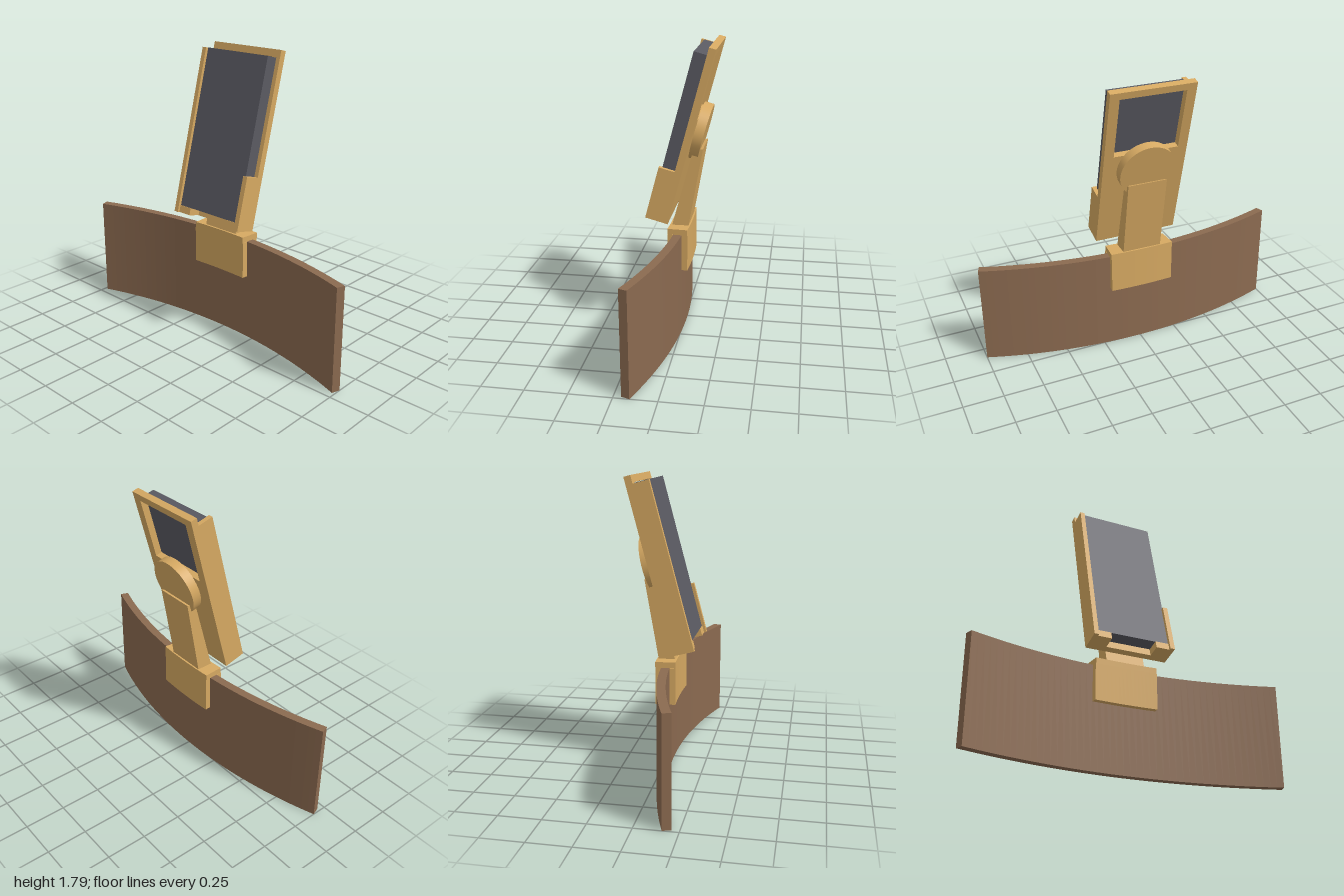
import * as THREE from 'three';

const wood = new THREE.MeshStandardMaterial({ color: 0x8b6a50 });
wood.name = 'brownBoard';
const tan = new THREE.MeshStandardMaterial({ color: 0xd6a962 });
tan.name = 'tanHolder';
const slate = new THREE.MeshStandardMaterial({ color: 0x5a5a62 });
slate.name = 'slateDevice';

// common centre of the board's curvature
const ARC_Z = 3.028;

function mesh(name, geometry, material) {
  const m = new THREE.Mesh(geometry, material);
  m.name = name;
  return m;
}

// box given by its limits on each axis
function block(name, material, [x0, x1], [y0, y1], [z0, z1]) {
  const g = new THREE.BoxGeometry(x1 - x0, y1 - y0, z1 - z0);
  g.translate((x0 + x1) / 2, (y0 + y1) / 2, (z0 + z1) / 2);
  return mesh(name, g, material);
}

// upright slab bent around the common centre
function bentSlab(name, material, rIn, rOut, halfAngle, y0, y1, segments) {
  const a0 = Math.PI / 2 - halfAngle, a1 = Math.PI / 2 + halfAngle;
  const s = new THREE.Shape();
  s.absarc(0, -ARC_Z, rOut, a0, a1, false);
  s.absarc(0, -ARC_Z, rIn, a1, a0, true);
  s.closePath();
  const g = new THREE.ExtrudeGeometry(s, { depth: y1 - y0, bevelEnabled: false, curveSegments: segments });
  g.rotateX(-Math.PI / 2).translate(0, y0, 0);
  return mesh(name, g, material);
}

export function createModel() {
  const model = new THREE.Group();
  model.name = 'deviceHolder';

  // curved board
  model.add(bentSlab('curvedBoard', wood, 2.988, 3.04, 0.3352, 0, 0.645, 24));

  // clip straddling the top edge of the board
  const clip = new THREE.Group();
  clip.name = 'clip';
  clip.add(
    bentSlab('clipBack', tan, 3.04, 3.075, 0.067, 0.415, 0.645, 8),
    bentSlab('clipFront', tan, 2.952, 2.988, 0.0685, 0.415, 0.645, 8),
    bentSlab('clipTop', tan, 2.952, 3.075, 0.0675, 0.645, 0.68, 8)
  );
  model.add(clip);

  // tapered arm, drawn in side profile as (z, y)
  const profile = new THREE.Shape([
    [0.068, 0.67], [-0.034, 0.67], [-0.122, 1.168], [-0.062, 1.155]
  ].map(([z, y]) => new THREE.Vector2(-z, y)));
  const armGeometry = new THREE.ExtrudeGeometry(profile, { depth: 0.25, bevelEnabled: false });
  armGeometry.translate(0, 0, -0.125).rotateY(Math.PI / 2);
  model.add(mesh('arm', armGeometry, tan));

  // tilted cradle: origin at its lower rear edge
  const cradle = new THREE.Group();
  cradle.name = 'cradle';
  cradle.position.set(0, 0.735, 0.07);
  cradle.rotation.x = -Math.PI / 12;
  model.add(cradle);

  // back plate with a window
  const plate = new THREE.Shape([
    new THREE.Vector2(-0.265, 0), new THREE.Vector2(0.265, 0),
    new THREE.Vector2(0.265, 1.08), new THREE.Vector2(-0.265, 1.08)
  ]);
  plate.holes.push(new THREE.Path([
    new THREE.Vector2(-0.205, 0.645), new THREE.Vector2(-0.205, 1.037),
    new THREE.Vector2(0.205, 1.037), new THREE.Vector2(0.205, 0.645)
  ]));
  cradle.add(mesh('backPlate', new THREE.ExtrudeGeometry(plate, { depth: 0.042, bevelEnabled: false }), tan));

  // tall wall on one side, short wall on the other
  cradle.add(
    block('tallWall', tan, [-0.265, -0.236], [0, 1.03], [0.042, 0.14]),
    block('shortWall', tan, [0.234, 0.265], [0, 0.327], [0.042, 0.14])
  );

  // bottom ledges with an open slot between them
  for (const side of [-1, 1]) {
    const xs = [side * 0.147, side * 0.236].sort((a, b) => a - b);
    cradle.add(block(side < 0 ? 'rightLedge' : 'leftLedge', tan, xs, [0, 0.045], [0.042, 0.125]));
  }

  // device slab
  cradle.add(block('device', slate, [-0.236, 0.239], [0.045, 1.032], [0.043, 0.121]));

  // round mounting disc behind the plate
  const disc = new THREE.CylinderGeometry(0.177, 0.177, 0.058, 48);
  disc.rotateX(Math.PI / 2).translate(0, 0.538, -0.028);
  cradle.add(mesh('mountingDisc', disc, tan));

  return model;
}
